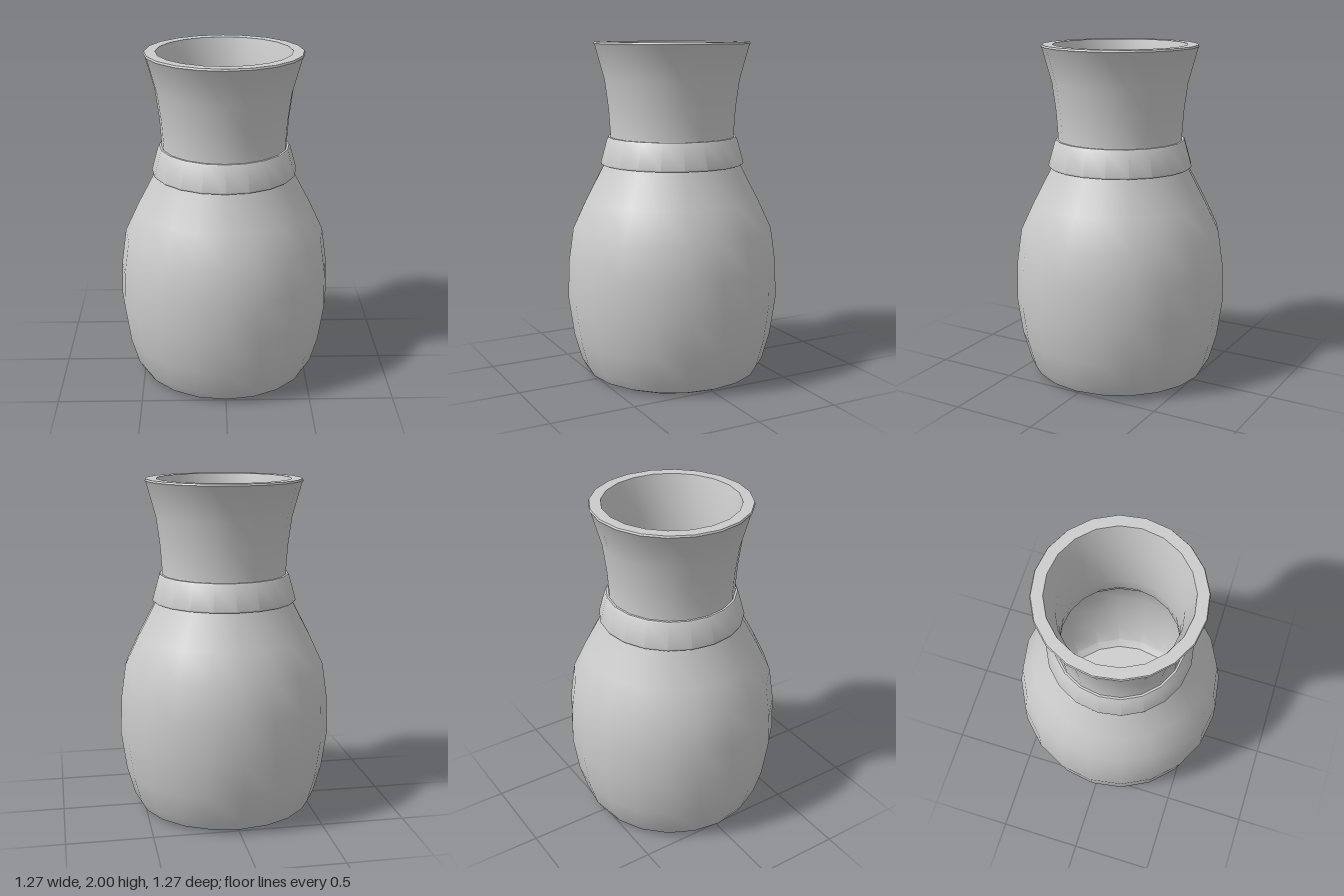
import * as THREE from 'three';
import { toCreasedNormals } from 'three/addons/utils/BufferGeometryUtils.js';

const SIDES = 20;

// Turned part: the profile is a list of [radius, height] pairs
function turned(name, profile) {
  const points = profile.map(([r, y]) => new THREE.Vector2(r, y));
  const geometry = toCreasedNormals(new THREE.LatheGeometry(points, SIDES), 0.55);
  const mesh = new THREE.Mesh(geometry, new THREE.MeshStandardMaterial({ color: 0xcccccc }));
  mesh.name = name;
  return mesh;
}

export function createModel() {
  const group = new THREE.Group();
  group.name = 'carafe';

  // Hollow body: underside, outer wall, rim, inner wall and floor
  group.add(turned('body', [
    [0, 0], [0.48, 0], [0.525, 0.02], [0.56, 0.08], [0.605, 0.24],
    [0.637, 0.47], [0.63, 0.69], [0.6, 0.9], [0.52, 1.07], [0.41, 1.28],
    [0.38, 1.36], [0.37, 1.46], [0.38, 1.61], [0.402, 1.78], [0.457, 1.98],
    [0.464, 1.99], [0.459, 2],
    [0.395, 2], [0.345, 1.79], [0.335, 1.6], [0.335, 1.46], [0.35, 1.32],
    [0.46, 1.06], [0.54, 0.88], [0.57, 0.69], [0.575, 0.47], [0.545, 0.25],
    [0.5, 0.1], [0.46, 0.06], [0, 0.06],
  ]));

  // Sloping collar around the neck
  group.add(turned('collar', [
    [0.385, 1.283], [0.428, 1.283], [0.43, 1.292], [0.39, 1.435], [0.384, 1.443], [0.36, 1.443],
  ]));

  return group;
}
